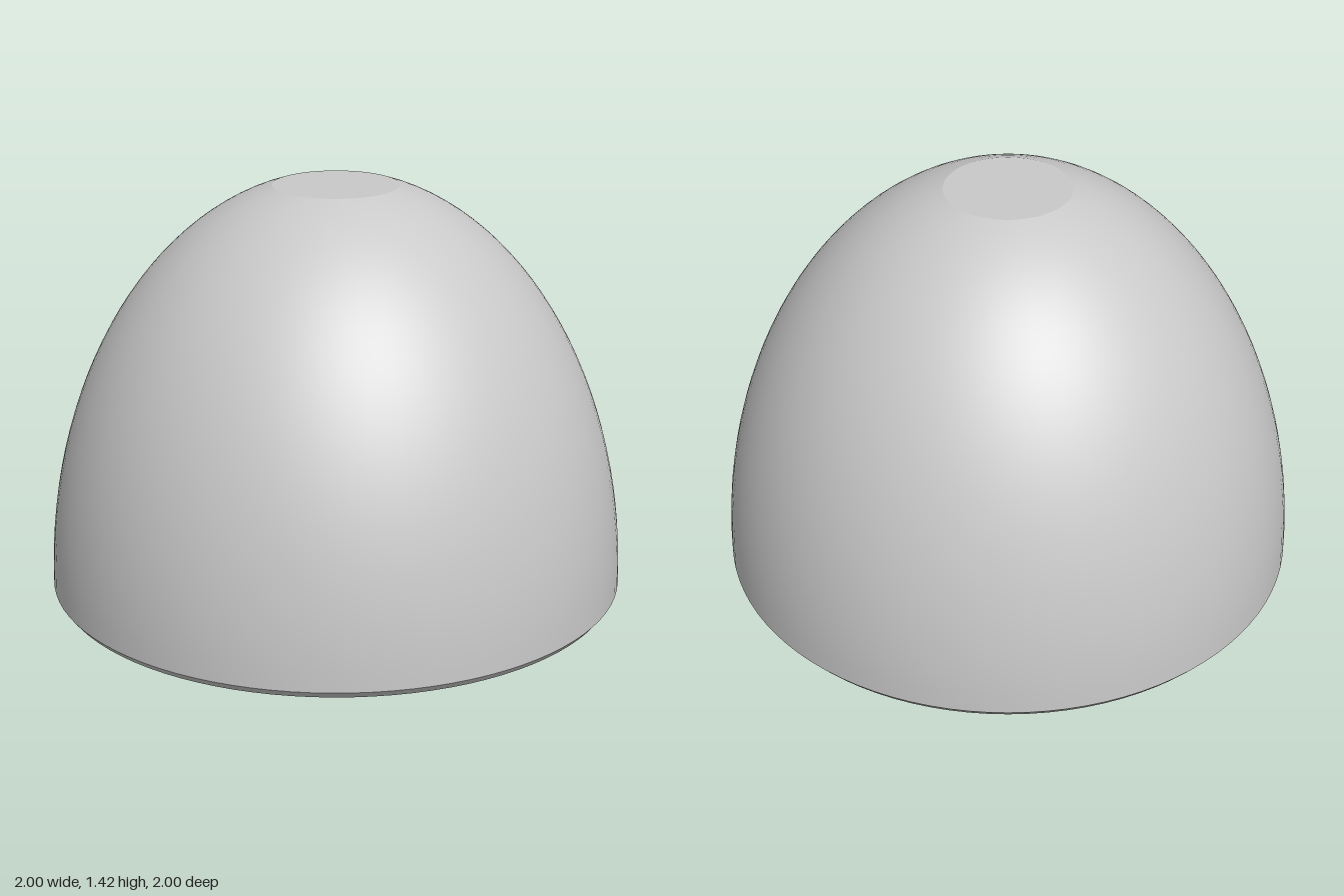
import * as THREE from 'three';

export function createModel() {
  const model = new THREE.Group();
  model.name = 'domeCap';
  const grey = new THREE.MeshStandardMaterial({ color: 0xc9c9c9 });
  grey.name = 'plain grey';

  // One smooth section of revolution; separate sections keep hard edges between them
  const section = (name, pairs) => {
    const points = pairs.map(([r, y]) => new THREE.Vector2(r, y));
    const mesh = new THREE.Mesh(new THREE.LatheGeometry(points, 96), grey);
    mesh.name = name;
    model.add(mesh);
  };

  // Outside: an elliptical dome cut off by a flat top
  const topRadius = 0.215;
  const topAngle = Math.acos(topRadius);
  const dome = [];
  for (let i = 0; i <= 28; i++) {
    const a = topAngle * i / 28;
    dome.push([Math.cos(a), 0.025 + 1.43 * Math.sin(a)]);
  }
  const topY = dome[28][1];
  section('outerDome', dome);
  section('flatTop', [[topRadius, topY], [0, topY]]);

  // Bottom edge
  section('rimFace', [[0.895, 0], [0.98, 0]]);
  section('rimChamfer', [[0.98, 0], [1, 0.025]]);

  // Stepped socket inside, traced downwards so that it faces the axis
  section('socketWall', [[0.895, 0.173], [0.895, 0]]);
  section('socketTaper', [[0.805, 0.284], [0.895, 0.173]]);
  section('innerCollar', [[0.805, 0.367], [0.805, 0.284]]);

  // Conical hollow above the collar, closed by a flat ceiling
  section('innerCone', [[0.16, 1.255], [0.805, 0.367]]);
  section('innerCeiling', [[0, 1.255], [0.16, 1.255]]);

  return model;
}
